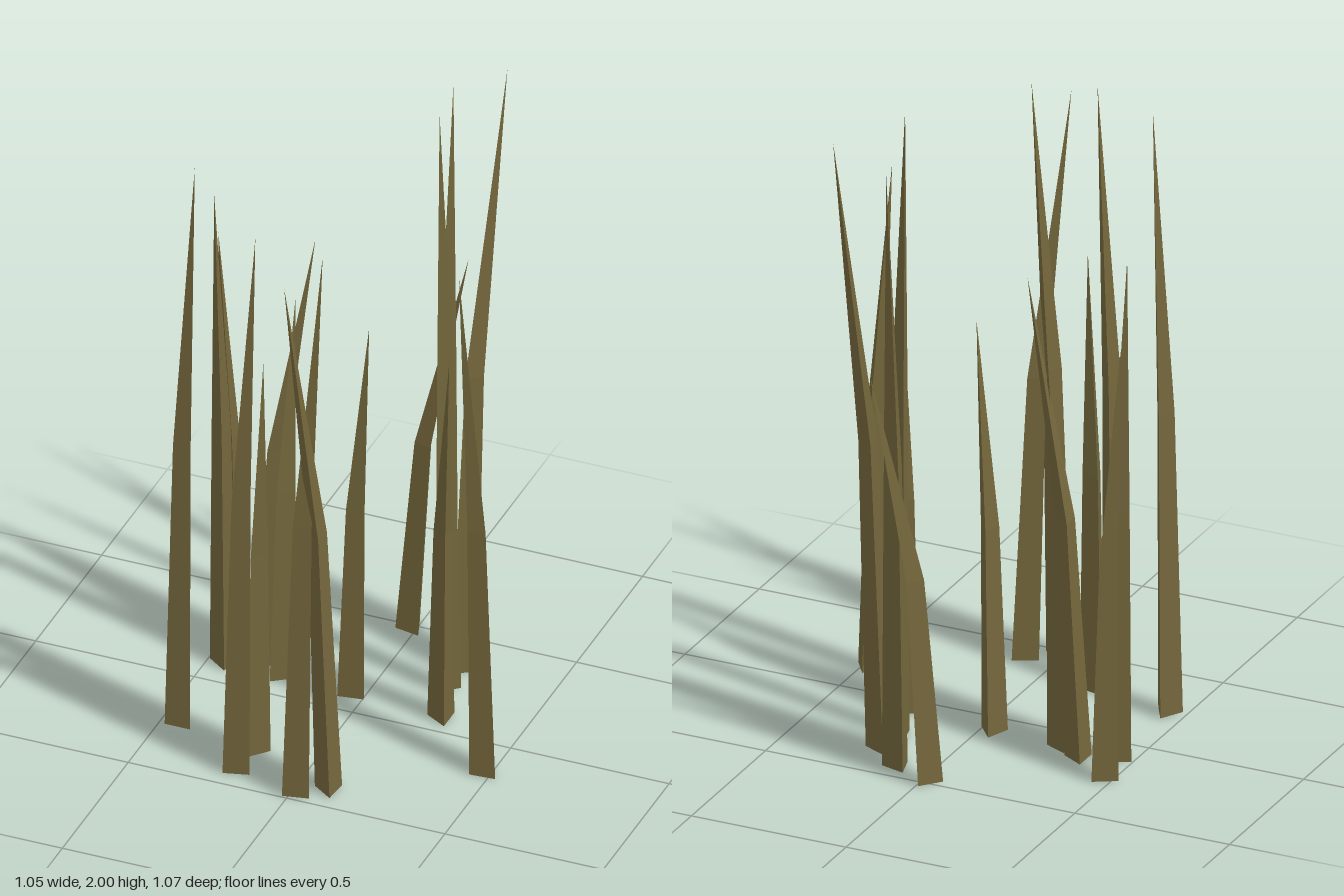
import * as THREE from 'three';

// Each blade: base centre x, z, turn of its three-sided base in degrees, tip x, z, height
const BLADES = [
  [-0.016, -0.484, -79, 0.144, -0.537, 1.29],
  [0.106, -0.432, -15, 0.118, -0.483, 1.92],
  [0.205, -0.34, -5, 0.28, -0.503, 2.0],
  [0.197, -0.234, -12, 0.19, -0.205, 2.0],
  [-0.473, -0.244, 60, -0.526, -0.246, 1.39],
  [-0.345, -0.151, 0, -0.178, -0.147, 1.51],
  [-0.267, -0.103, -5, -0.241, -0.147, 1.29],
  [-0.039, -0.093, 21, 0.024, -0.07, 1.3],
  [-0.45, -0.105, 66, -0.48, -0.105, 1.61],
  [0.252, -0.073, 60, 0.33, 0.058, 1.33],
  [0.481, 0.152, 26, 0.38, 0.104, 1.66],
  [-0.442, 0.244, 30, -0.4, 0.235, 1.93],
  [-0.184, 0.298, -18, -0.141, 0.337, 1.38],
  [-0.192, 0.414, 15, -0.126, 0.434, 1.87],
  [0.017, 0.463, 18, 0.08, 0.418, 1.85],
  [0.096, 0.41, 65, 0.007, 0.535, 1.79],
];
const RADIUS = 0.046;
const MID_SCALE = 0.7;

// Three-sided spike with one middle ring, bent quadratically towards its tip
function bladeGeometry(turn, leanX, leanZ, height) {
  const geo = new THREE.ConeGeometry(RADIUS, 1, 3, 2);
  geo.translate(0, 0.5, 0);
  geo.rotateY(THREE.MathUtils.degToRad(90 - turn));
  const p = geo.attributes.position;
  for (let i = 0; i < p.count; i++) {
    const t = p.getY(i);
    const widen = Math.abs(t - 0.5) < 0.01 ? MID_SCALE / 0.5 : 1;
    p.setXYZ(i, p.getX(i) * widen + leanX * t * t, t * height, p.getZ(i) * widen + leanZ * t * t);
  }
  geo.computeVertexNormals();
  return geo;
}

export function createModel() {
  const group = new THREE.Group();
  group.name = 'grassClump';
  const dryGrass = new THREE.MeshStandardMaterial({ color: 0x74673c, flatShading: true });
  dryGrass.name = 'dryGrass';

  BLADES.forEach(([x, z, turn, tipX, tipZ, height], i) => {
    const blade = new THREE.Mesh(bladeGeometry(turn, tipX - x, tipZ - z, height), dryGrass);
    blade.name = `grassBlade${i + 1}`;
    blade.position.set(x, 0, z);
    group.add(blade);
  });
  return group;
}
